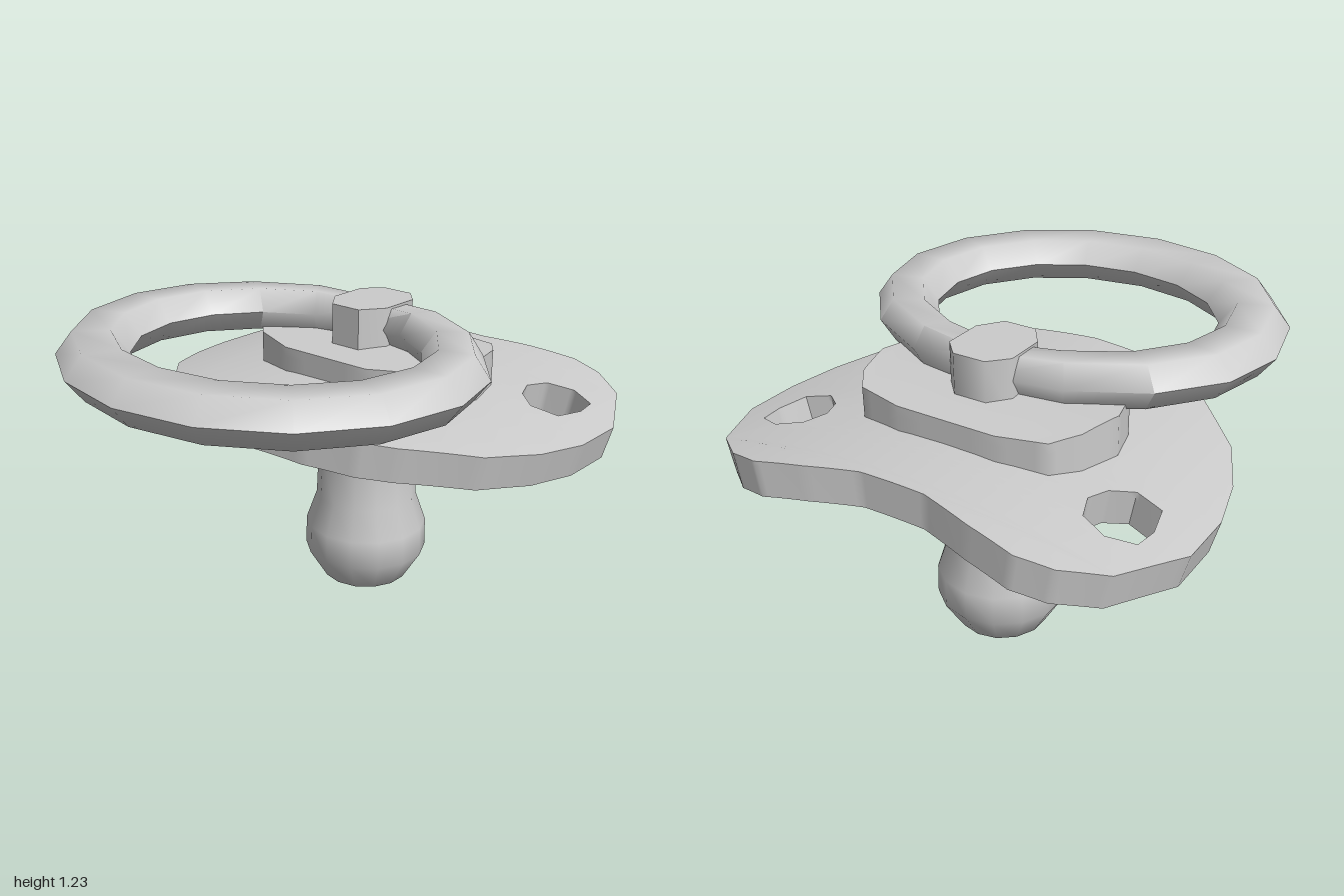
import * as THREE from 'three';
import { toCreasedNormals } from 'three/addons/utils/BufferGeometryUtils.js';

const material = new THREE.MeshStandardMaterial({ color: 0xcccccc });

// Outline given as the +x half in [x, z], mirrored to a closed loop; shape y = -z
function mirrored(half) {
  const other = half.filter(([x]) => x > 0).reverse().map(([x, z]) => [-x, z]);
  return [...half, ...other].map(([x, z]) => new THREE.Vector2(x, -z));
}

// Upright prism from y0 to y0 + height
function prism(points, holes, y0, height) {
  const shape = new THREE.Shape(points);
  shape.holes = holes.map((h) => new THREE.Path(h));
  const geo = new THREE.ExtrudeGeometry(shape, { depth: height, bevelEnabled: false });
  return geo.rotateX(-Math.PI / 2).translate(0, y0, 0);
}

// Split every triangle in four so flat faces can bend
function subdivide(geo, levels) {
  let p = Array.from((geo.index ? geo.toNonIndexed() : geo).attributes.position.array);
  for (let l = 0; l < levels; l++) {
    const out = [];
    for (let i = 0; i < p.length; i += 9) {
      const [a, b, c] = [0, 3, 6].map((k) => p.slice(i + k, i + k + 3));
      const mid = (u, v) => u.map((n, k) => (n + v[k]) / 2);
      const ab = mid(a, b), bc = mid(b, c), ca = mid(c, a);
      out.push(...a, ...ab, ...ca, ...ab, ...b, ...bc, ...ca, ...bc, ...c, ...ab, ...bc, ...ca);
    }
    p = out;
  }
  return new THREE.BufferGeometry().setAttribute('position', new THREE.Float32BufferAttribute(p, 3));
}

// Move each vertex by a rule
function warp(geo, rule) {
  const pos = geo.attributes.position;
  const v = new THREE.Vector3();
  for (let i = 0; i < pos.count; i++) {
    rule(v.fromBufferAttribute(pos, i));
    pos.setXYZ(i, v.x, v.y, v.z);
  }
  return geo;
}

// Oval ring swept from hexagonal sections, thinner at the back
function ringGeometry() {
  const segments = 16, sides = 6, midY = 1.142, cz = 0.24;
  const section = [[1, 0], [0.52, 1], [-0.52, 1], [-1, 0], [-0.52, -1], [0.52, -1]];
  const verts = [], index = [];
  for (let i = 0; i < segments; i++) {
    const a = (i / segments) * Math.PI * 2;
    const c = Math.cos(a), s = Math.sin(a);
    const outer = [0.82 * c, (s > 0 ? 0.75 : 0.66) * s];
    const inner = [0.555 * c, (s > 0 ? 0.48 : 0.49) * s];
    const h = s < -0.95 ? 0.07 : 0.083;
    for (let j = 0; j < sides; j++) {
      const [u, w] = section[j];
      const t = (u + 1) / 2;
      verts.push(inner[0] + (outer[0] - inner[0]) * t, midY + w * h, cz + inner[1] + (outer[1] - inner[1]) * t);
      const n = ((i + 1) % segments) * sides, m = i * sides, k = (j + 1) % sides;
      index.push(m + j, m + k, n + j, m + k, n + k, n + j);
    }
  }
  const geo = new THREE.BufferGeometry();
  geo.setAttribute('position', new THREE.Float32BufferAttribute(verts, 3));
  geo.setIndex(index);
  return toCreasedNormals(geo, 1.1);
}

export function createModel() {
  const group = new THREE.Group();
  const add = (name, geo) => {
    const mesh = new THREE.Mesh(geo, material);
    mesh.name = name;
    group.add(mesh);
    return mesh;
  };

  // Mouth shield with two air holes, bent sideways around a large radius
  const outline = mirrored([
    [0, 0.405], [0.26, 0.378], [0.45, 0.31], [0.56, 0.23], [0.77, 0.02], [0.87, -0.185], [0.92, -0.385],
    [0.92, -0.61], [0.79, -0.87], [0.65, -0.97], [0.52, -1], [0.33, -0.965], [0.13, -0.912], [0, -0.912],
  ]);
  const hole = [
    [0.68, -0.73], [0.775, -0.69], [0.785, -0.6], [0.755, -0.485],
    [0.65, -0.46], [0.575, -0.52], [0.545, -0.6], [0.58, -0.69],
  ];
  const holes = [1, -1].map((side) => hole.map(([x, z]) => new THREE.Vector2(side * x, -z)));
  const R = 3.45, thickness = 0.135, top = 0.965;
  const shield = warp(subdivide(prism(outline, holes, -thickness, thickness), 3), (v) => {
    const a = Math.asin(v.x / R), r = R + v.y;
    v.set(r * Math.sin(a), top - R + r * Math.cos(a), v.z);
  });
  add('shield', toCreasedNormals(shield, 0.9));

  // Raised plate with a slight crown from front to back
  const plateOutline = mirrored([
    [0.2, -0.03], [0.385, -0.095], [0.465, -0.18], [0.5, -0.32], [0.455, -0.485], [0.385, -0.58], [0.2, -0.62],
  ]);
  const plate = warp(subdivide(prism(plateOutline, [], 0.9, 0.155), 2), (v) => {
    if (v.y > 1) v.y += 0.025 * (1 - ((v.z + 0.325) / 0.295) ** 2);
  });
  add('plate', toCreasedNormals(plate, 0.9));

  // Post holding the ring
  const postOutline = mirrored([[0.065, -0.15], [0.13, -0.24], [0.13, -0.4], [0.065, -0.47]]);
  add('post', toCreasedNormals(prism(postOutline, [], 1, 0.228), 0.9));

  // Pull ring
  add('ring', ringGeometry());

  // Teat
  const profile = [
    [0, 0], [0.055, 0.003], [0.175, 0.052], [0.25, 0.175], [0.247, 0.29], [0.205, 0.41], [0.197, 0.6], [0.19, 0.9],
  ].map(([r, y]) => new THREE.Vector2(r, y));
  add('teat', new THREE.LatheGeometry(profile, 14)).position.z = -0.295;

  return group;
}
